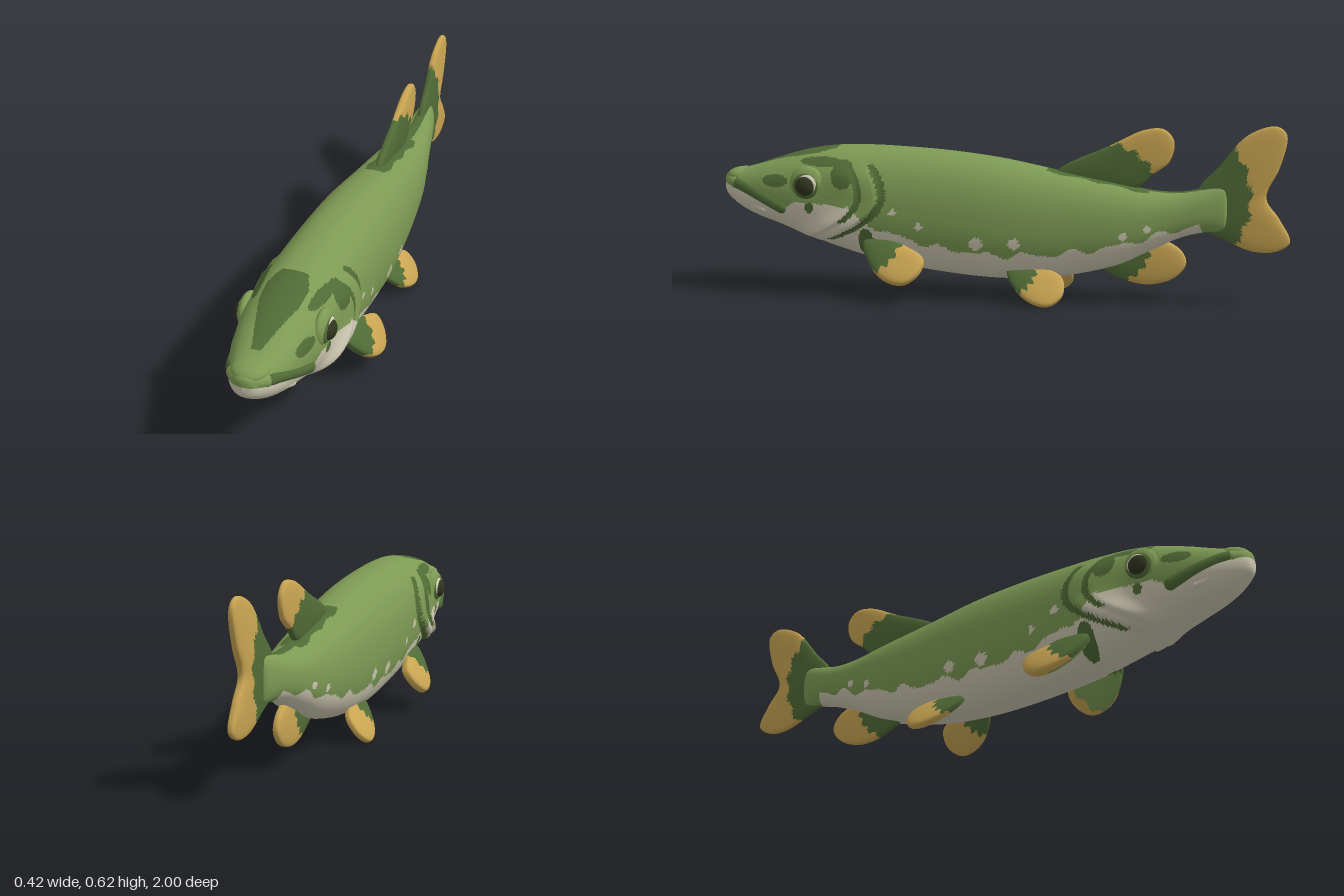
import * as THREE from 'three';

const mat = (name, color) => {
  const m = new THREE.MeshStandardMaterial({ color });
  m.name = name;
  return m;
};

// Closed-around surface: fn(i, j) gives a point, paint(x, y, z) a material index
function surface(rows, cols, fn, paint, mats, name) {
  const pos = [], lists = mats.map(() => []);
  for (let i = 0; i <= rows; i++) for (let j = 0; j < cols; j++) pos.push(...fn(i / rows, j / cols));
  const tri = (...t) => {
    const mid = [0, 1, 2].map(k => (pos[t[0] * 3 + k] + pos[t[1] * 3 + k] + pos[t[2] * 3 + k]) / 3);
    lists[paint(...mid)].push(...t);
  };
  for (let i = 0; i < rows; i++) for (let j = 0; j < cols; j++) {
    const n = (j + 1) % cols;
    const a = i * cols + j, b = i * cols + n, c = a + cols, d = b + cols;
    tri(a, b, c);
    tri(b, d, c);
  }
  const g = new THREE.BufferGeometry();
  g.setAttribute('position', new THREE.Float32BufferAttribute(pos, 3));
  g.setIndex(lists.flat());
  let start = 0;
  lists.forEach((l, k) => { g.addGroup(start, l.length, k); start += l.length; });
  g.computeVertexNormals();
  const mesh = new THREE.Mesh(g, mats);
  mesh.name = name;
  return mesh;
}

const spow = (v, p) => Math.sign(v) * Math.pow(Math.abs(v), p);
const step = THREE.MathUtils.smoothstep;

// Piecewise linear lookup in [z, value] pairs with falling z
function lookup(table, z) {
  if (z >= table[0][0]) return table[0][1];
  for (let i = 1; i < table.length; i++) {
    const [z0, v0] = table[i - 1], [z1, v1] = table[i];
    if (z >= z1) return v0 + (v1 - v0) * (z - z0) / (z1 - z0);
  }
  return table[table.length - 1][1];
}

// Body stations: z, top, bottom, half width
const stations = [
  [1, 0.395, 0.37, 0], [0.992, 0.414, 0.343, 0.032], [0.965, 0.427, 0.317, 0.058],
  [0.92, 0.437, 0.288, 0.082], [0.86, 0.455, 0.262, 0.104], [0.8, 0.475, 0.242, 0.12],
  [0.7, 0.504, 0.205, 0.137], [0.6, 0.521, 0.17, 0.143], [0.5, 0.525, 0.14, 0.145],
  [0.4, 0.524, 0.115, 0.147], [0.2, 0.513, 0.085, 0.147], [0, 0.49, 0.07, 0.143],
  [-0.2, 0.452, 0.08, 0.128], [-0.4, 0.415, 0.125, 0.108], [-0.52, 0.392, 0.18, 0.086],
  [-0.62, 0.388, 0.228, 0.064], [-0.7, 0.402, 0.25, 0.048], [-0.76, 0.413, 0.255, 0.034],
  [-0.78, 0.4, 0.27, 0.024], [-0.79, 0.34, 0.33, 0],
];
// Height where the pale belly meets the green flank
const bellyLine = [
  [1, 0.385], [0.86, 0.35], [0.75, 0.31], [0.7, 0.335], [0.5, 0.325], [0.44, 0.26], [0.33, 0.225],
  [0.2, 0.19], [0, 0.168], [-0.2, 0.175], [-0.4, 0.205], [-0.6, 0.26], [-0.69, 0.285], [-0.72, 0.2],
];
// Pale flecks: z, y, radius
const flecks = [[0.35, 0.31, 0.014], [0.26, 0.262, 0.013], [0.06, 0.207, 0.022], [-0.07, 0.21, 0.02],
  [-0.44, 0.243, 0.013], [-0.52, 0.268, 0.013]];
// Dark patches on head and fin root: z, y, z radius, y radius
const patches = [[0.78, 0.405, 0.05, 0.022], [0.53, 0.435, 0.04, 0.05], [0.61, 0.475, 0.08, 0.016],
  [0.65, 0.315, 0.015, 0.02], [0.45, 0.19, 0.03, 0.06]];

// Distance in front of the rear edge of the gill cover
const gill = (y, z) => z - 0.395 - (y < 0.36 ? 7.8 : 4) * (y - 0.36) ** 2;

function gillBulge(y, z) {
  const d = gill(y, z);
  const mask = step(y, 0.16, 0.21) * (1 - step(y, 0.42, 0.5)) * (1.7 - step(y, 0.2, 0.36));
  const cover = step(d, 0, 0.015) * (1 - step(d, 0.03, 0.2)) * 0.02;
  const cheek = step(d, 0.075, 0.09) * (1 - step(d, 0.1, 0.25)) * 0.012;
  return mask * (cover + cheek);
}

function paintBody(x, y, z) {
  const ax = Math.abs(x);
  const top = y > 0.37;
  // crown, dorsal saddle and ridge before the tail
  if (top && z > 0.57 && z < 0.89 && ax < Math.min(0.045 + (z - 0.57) * 0.4, 0.068, 0.015 + (0.89 - z) * 0.28)) return 1;
  if (top && z < -0.17 && z > -0.52 && ax < 0.039 + 0.005 * Math.sin(z * 50)) return 1;
  if (top && z <= -0.52 && ax < 0.018) return 1;
  // gill arcs and cheek marks
  const d = gill(y, z);
  if (y > 0.2 && y < 0.47 && z < 0.6 && Math.abs(d + 0.006) < 0.015) return 1;
  if (y > 0.27 && y < 0.47 && z < 0.6 && Math.abs(d - 0.075) < 0.013) return 1;
  if (ax > 0.05 && patches.some(p => ((z - p[0]) / p[2]) ** 2 + ((y - p[1]) / p[3]) ** 2 < 1)) return 1;
  if (flecks.some(f => Math.hypot(z - f[0], y - f[1]) < f[2])) return 2;
  const wobble = z < 0.42 ? 0.009 * Math.sin(z * 42) + 0.005 * Math.sin(z * 67 + 1) : 0;
  return y > lookup(bellyLine, z) + wobble ? 0 : 2;
}

export function createModel() {
  const green = mat('scale green', 0x7d9a54);
  const dark = mat('dark green', 0x506b36);
  const cream = mat('belly cream', 0xd0cbb4);
  const gold = mat('fin gold', 0xc9a552);
  const black = mat('pupil dark', 0x30351f);

  const fish = new THREE.Group();
  fish.name = 'fish';

  // Body lofted from nose to tail root
  const zCurve = new THREE.CatmullRomCurve3(stations.map(s => new THREE.Vector3(s[0], 0, 0)), false, 'catmullrom');
  const sCurve = new THREE.CatmullRomCurve3(
    stations.map(s => new THREE.Vector3(s[1], s[2], s[3])), false, 'catmullrom');
  fish.add(surface(300, 124, (u, v) => {
    const z = zCurve.getPoint(u).x, s = sCurve.getPoint(u), a = v * Math.PI * 2;
    const sin = Math.sin(a);
    const y = (s.x + s.y) / 2 + (s.x - s.y) / 2 * spow(Math.cos(a), 0.9);
    const x = Math.max(s.z, 0) * spow(sin, 0.87) + sin * gillBulge(y, z);
    return [x, y, z];
  }, paintBody, [green, dark, cream], 'body'));

  // Pillow-shaped fin: side outline as [z, y], splayed outward by k below y0;
  // gold beyond reach from the root, with a green inner face where innerReach is larger
  function fin(name, outline, hub, thick, root, reach, innerReach = 0, side = 0, x0 = 0, y0 = 0, k = 0) {
    const pts = outline.map(p => new THREE.Vector2(...p));
    if (THREE.ShapeUtils.area(pts) < 0) pts.reverse();
    const curve = new THREE.CatmullRomCurve3(pts.map(p => new THREE.Vector3(0, p.y, p.x)), true);
    const len = Math.hypot(1, k);
    const midX = y => side * (x0 + (y0 - y) * k);
    fish.add(surface(32, 84, (u, v) => {
      const p = curve.getPoint(v), s = Math.sin(u * Math.PI);
      const z = hub[0] + (p.z - hub[0]) * s, y = hub[1] + (p.y - hub[1]) * s;
      const off = thick * spow(Math.cos(u * Math.PI), 0.55) / len;
      return [midX(y) + off, y + off * side * k, z];
    }, (x, y, z) => {
      const a = Math.atan2(y - root[1], z - root[0]);
      const dist = Math.hypot(z - root[0], y - root[1]) + 0.008 * Math.sin(a * 20);
      if (side * (x - midX(y)) < -0.006 && dist > reach * 0.5 && dist < innerReach) return 2;
      return dist > reach ? 1 : 0;
    }, [dark, gold, green], name));
  }

  fin('tailFin', [[-0.68, 0.39], [-0.75, 0.475], [-0.845, 0.585], [-0.94, 0.617], [-0.975, 0.59],
    [-0.955, 0.48], [-0.912, 0.375], [-0.96, 0.3], [-0.995, 0.225], [-0.95, 0.192], [-0.87, 0.19],
    [-0.77, 0.23], [-0.69, 0.27]], [-0.82, 0.36], 0.02, [-0.6, 0.37], 0.262);
  fin('dorsalFin', [[-0.2, 0.445], [-0.39, 0.545], [-0.5, 0.597], [-0.565, 0.6], [-0.6, 0.56],
    [-0.585, 0.49], [-0.53, 0.445], [-0.47, 0.395], [-0.3, 0.4]], [-0.43, 0.47], 0.02, [-0.37, 0.36], 0.188);
  fin('analFin', [[-0.35, 0.13], [-0.42, 0.083], [-0.52, 0.063], [-0.61, 0.09], [-0.648, 0.14],
    [-0.63, 0.185], [-0.56, 0.22], [-0.43, 0.2]], [-0.51, 0.14], 0.02, [-0.39, 0.2], 0.135);

  for (const side of [1, -1]) {
    const label = side > 0 ? 'left' : 'right';
    fin(label + 'PectoralFin', [[0.46, 0.2], [0.43, 0.13], [0.37, 0.08], [0.3, 0.07], [0.25, 0.105],
      [0.24, 0.15], [0.3, 0.185], [0.39, 0.215]], [0.35, 0.14], 0.026, [0.44, 0.225], 0.118, 0.19,
    side, 0.122, 0.19, 0.66);
    fin(label + 'PelvicFin', [[-0.04, 0.11], [-0.075, 0.05], [-0.14, 0.01], [-0.2, 0.006], [-0.24, 0.04],
      [-0.235, 0.09], [-0.16, 0.12]], [-0.15, 0.065], 0.02, [-0.06, 0.125], 0.085, 0, side, 0.087, 0.1, 0.72);
  }

  // Rounded blob helper
  function blob(name, m, x, y, z, rx, ry, rz) {
    const b = new THREE.Mesh(new THREE.SphereGeometry(1, 28, 18), m);
    b.name = name;
    b.position.set(x, y, z);
    b.scale.set(rx, ry, rz);
    fish.add(b);
  }

  // Lips: mirrored tubes round the snout with rounded ends
  function lip(name, m, half, r) {
    const v = half.map(p => new THREE.Vector3(...p));
    const all = [...v.slice(1).reverse().map(p => new THREE.Vector3(-p.x, p.y, p.z)), ...v];
    const tube = new THREE.Mesh(new THREE.TubeGeometry(new THREE.CatmullRomCurve3(all), 48, r, 14), m);
    tube.name = name;
    fish.add(tube);
    const e = v[v.length - 1];
    for (const s of [1, -1]) blob(name + 'End', m, s * e.x, e.y, e.z, r, r, r);
  }
  lip('upperLip', dark, [[0, 0.396, 0.97], [0.045, 0.388, 0.948], [0.076, 0.37, 0.89],
    [0.1, 0.341, 0.82], [0.113, 0.313, 0.757]], 0.023);
  lip('upperLipFront', green, [[0, 0.393, 0.971], [0.03, 0.39, 0.962], [0.05, 0.385, 0.942]], 0.0245);
  lip('lowerLip', cream, [[0, 0.35, 0.972], [0.043, 0.342, 0.945], [0.072, 0.322, 0.885], [0.088, 0.3, 0.83]], 0.014);
  blob('snoutTip', green, 0, 0.408, 0.93, 0.062, 0.03, 0.062);

  // Eyes: socket, iris and pupil
  for (const s of [1, -1]) {
    blob('eyeSocket', green, s * 0.126, 0.4, 0.66, 0.027, 0.062, 0.062);
    blob('eyeRim', dark, s * 0.135, 0.396, 0.66, 0.022, 0.05, 0.05);
    blob('iris', cream, s * 0.139, 0.398, 0.657, 0.021, 0.041, 0.041);
    blob('pupil', black, s * 0.145, 0.394, 0.66, 0.025, 0.035, 0.035);
  }
  return fish;
}
